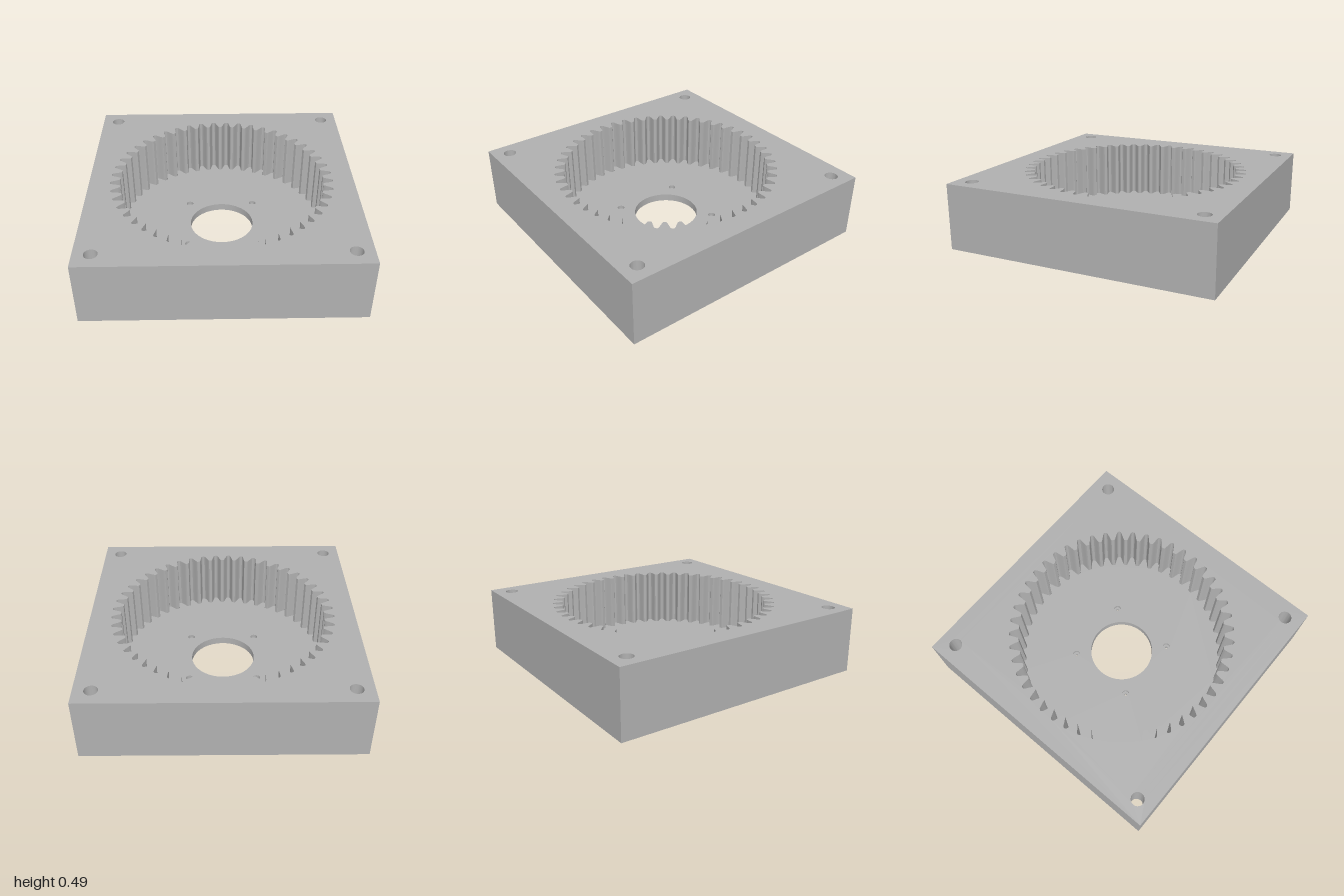
import * as THREE from 'three';
import { mergeGeometries, toCreasedNormals } from 'three/addons/utils/BufferGeometryUtils.js';

const HEIGHT = 0.49, FLOOR = 0.057, POCKET = 0.1, SEAT = 0.03;

// Closed outline of n points around (cx, cy), counterclockwise.
function ring(r, n, cx = 0, cy = 0) {
  return Array.from({ length: n }, (_, i) => {
    const a = (i / n) * Math.PI * 2;
    return new THREE.Vector2(cx + r * Math.cos(a), cy + r * Math.sin(a));
  });
}

// Internal gear outline: each tooth space is a mirrored half profile of [radius, degrees].
function gearOutline(teeth) {
  const half = [[0.77, 2.95], [0.776, 2.6], [0.79, 2.2], [0.81, 1.7], [0.828, 1.25], [0.838, 0.9], [0.843, 0.4]];
  const profile = [...half.map(([r, d]) => [r, -d]), ...half.slice().reverse()];
  const points = [];
  for (let i = 0; i < teeth; i++) {
    for (const [r, d] of profile) {
      const a = THREE.MathUtils.degToRad((i + 0.5) * (360 / teeth) + d);
      points.push(new THREE.Vector2(r * Math.cos(a), r * Math.sin(a)));
    }
  }
  return points;
}

// Flat horizontal face with holes, facing up or down.
function face(outline, holes, y, up = true) {
  const shape = new THREE.Shape(outline);
  shape.holes = holes.map((h) => new THREE.Path(h));
  return new THREE.ShapeGeometry(shape).rotateX(up ? -Math.PI / 2 : Math.PI / 2).translate(0, y, 0);
}

// Vertical wall along an outline; inward walls line a hole.
function wall(outline, y0, y1, inward = true) {
  const pos = [];
  outline.forEach((p, i) => {
    const q = outline[(i + 1) % outline.length];
    const [a, b] = inward ? [q, p] : [p, q];
    pos.push(a.x, y0, -a.y, b.x, y0, -b.y, b.x, y1, -b.y);
    pos.push(a.x, y0, -a.y, b.x, y1, -b.y, a.x, y1, -a.y);
  });
  const g = new THREE.BufferGeometry();
  g.setAttribute('position', new THREE.Float32BufferAttribute(pos, 3));
  return toCreasedNormals(g, 0.45);
}

function join(geometries) {
  return mergeGeometries(geometries.map((g) => {
    const flat = g.index ? g.toNonIndexed() : g;
    flat.deleteAttribute('uv');
    return flat;
  }));
}

export function createModel() {
  const model = new THREE.Group();
  const grey = new THREE.MeshStandardMaterial({ color: 0xb0b0b0 });
  grey.name = 'grey';

  const add = (name, parts) => {
    const mesh = new THREE.Mesh(join(parts), grey);
    mesh.name = name;
    model.add(mesh);
  };

  const corners = [[1, 1], [-1, 1], [-1, -1], [1, -1]];
  const around = (d, r, n) => corners.map(([x, y]) => ring(r, n, x * d, y * d));

  const square = corners.map(([x, y]) => new THREE.Vector2(x, y));
  const gear = gearOutline(48);
  const bore = ring(0.246, 96);
  const bolts = around(0.875, 0.048, 40);
  const nuts = around(0.875, 0.09, 6);
  const screws = around(0.258, 0.009, 16);
  const seats = around(0.258, 0.027, 32);

  // Square block shell
  add('blockSides', [wall(square, 0, HEIGHT, false)]);
  add('blockTop', [face(square, [gear, ...bolts], HEIGHT)]);
  add('blockUnderside', [face(square, [bore, ...nuts, ...screws], 0, false)]);

  // Toothed cavity, its floor and the central bore
  add('gearTeeth', [wall(gear, FLOOR, HEIGHT)]);
  add('cavityFloor', [face(gear, [bore, ...seats], FLOOR)]);
  add('centreBore', [wall(bore, 0, FLOOR)]);

  // Corner bolt holes with hexagonal nut pockets below
  corners.forEach((_, i) => {
    add('boltHole', [wall(bolts[i], POCKET, HEIGHT)]);
    add('nutPocket', [wall(nuts[i], 0, POCKET), face(nuts[i], [bolts[i]], POCKET, false)]);
    // the downward face mirrors z, so the four pockets cover each other symmetrically
  });

  // Stepped screw holes around the bore
  corners.forEach((_, i) => {
    add('screwHole', [
      wall(screws[i], 0, SEAT),
      face(seats[i], [screws[i]], SEAT),
      wall(seats[i], SEAT, FLOOR),
    ]);
  });

  return model;
}
